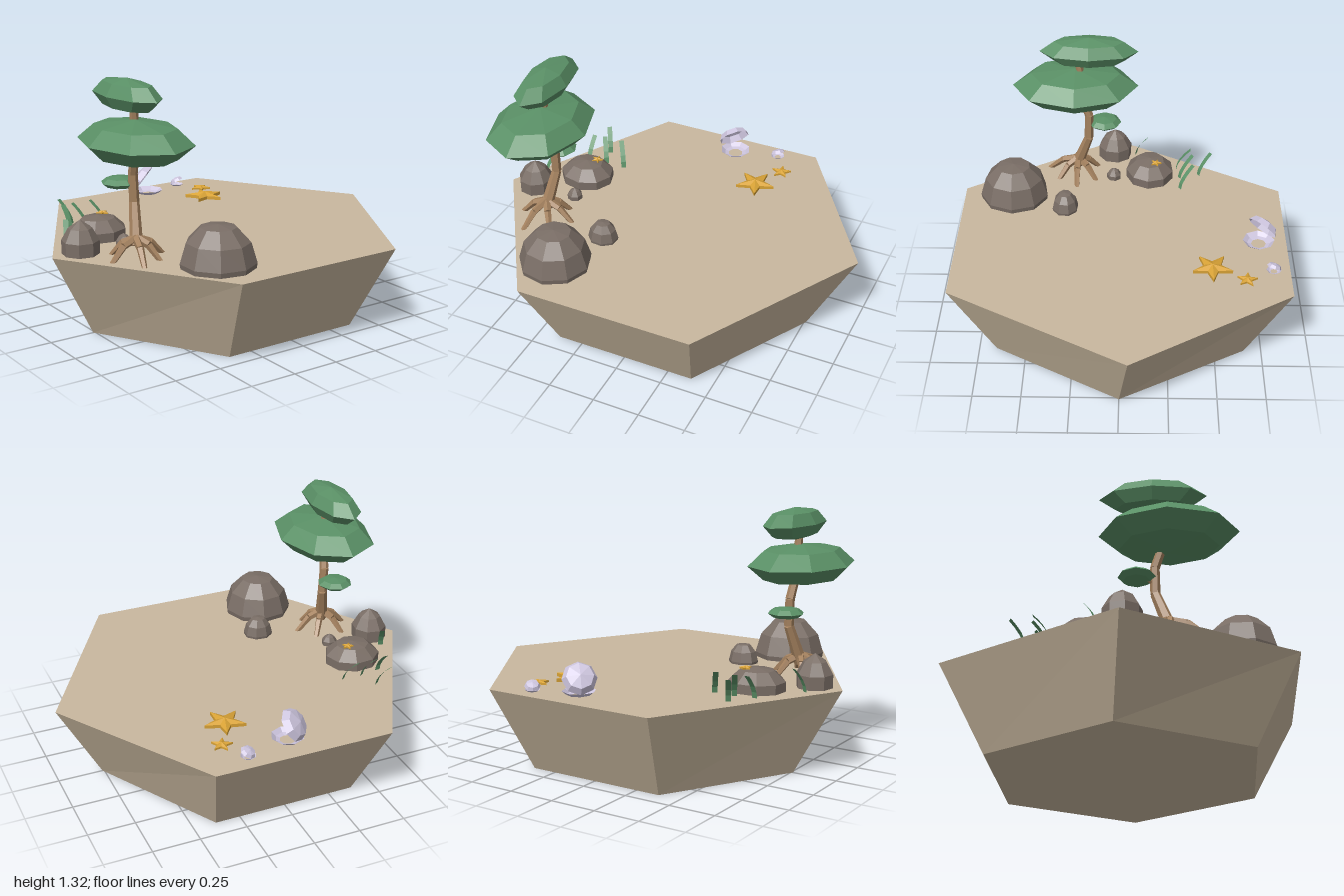
import * as THREE from 'three';

const GROUND = 0.45;
const paint = (name, color, side = THREE.FrontSide) => {
  const m = new THREE.MeshStandardMaterial({ color, side });
  m.name = name;
  return m;
};

// Splits a geometry into flat facets
function facet(geometry) {
  const g = geometry.index ? geometry.toNonIndexed() : geometry;
  g.computeVertexNormals();
  return g;
}

// Moves each vertex by a rule
function reshape(geometry, rule) {
  const p = geometry.attributes.position, v = new THREE.Vector3();
  for (let i = 0; i < p.count; i++) {
    rule(v.fromBufferAttribute(p, i));
    p.setXYZ(i, v.x, v.y, v.z);
  }
  return geometry;
}

const lathe = (profile, sides) =>
  new THREE.LatheGeometry(profile.map(([r, y]) => new THREE.Vector2(r, y)), sides);

export function createModel() {
  const model = new THREE.Group();
  const sand = paint('sand', 0xc9b89f);
  const stone = paint('stone', 0x7a6e66);
  const bark = paint('bark', 0xa5825f);
  const leaf = paint('leaf green', 0x5a9066);
  const grass = paint('grass green', 0x5a9066, THREE.DoubleSide);
  const gold = paint('starfish gold', 0xd9a336);
  const pearl = paint('shell lavender', 0xcdc5de, THREE.DoubleSide);

  const add = (name, geometry, material, parent = model) => {
    const mesh = new THREE.Mesh(facet(geometry), material);
    mesh.name = name;
    parent.add(mesh);
    return mesh;
  };

  // Six-sided island, slightly irregular at the top
  const island = new THREE.CylinderGeometry(1, 0.76, GROUND, 6, 1, false, Math.PI / 2);
  reshape(island, (v) => {
    if (v.y < 0) return;
    if (Math.abs(v.x) > 0.9) v.z = -0.045 * Math.sign(v.x);
    else { v.x *= 0.94; v.z *= 1.022; }
  });
  add('island', island, sand).position.y = GROUND / 2;

  // Rocks: unit dome profiles, stretched to size
  const dome = [[0, -0.1], [0.96, -0.1], [1, 0.12], [0.84, 0.6], [0.48, 0.94], [0, 1]];
  const pointed = [[0, -0.1], [0.97, -0.1], [0.98, 0.4], [0.62, 0.76], [0, 1]];
  const low = [[0, -0.1], [1, -0.1], [1, 0.42], [0.6, 0.88], [0, 1]];
  [
    ['bigRock', dome, -0.41, 0.605, 0.187, 0.21, 0.19, 9, 0.15],
    ['pointedRock', pointed, -0.845, 0.048, 0.096, 0.172, 0.098, 8, 0.2],
    ['flatRock', low, -0.63, -0.155, 0.148, 0.115, 0.135, 9, 0.1],
    ['smallRock', dome, -0.285, 0.315, 0.081, 0.105, 0.073, 8, 0.3],
    ['tinyRock', pointed, -0.6, 0.05, 0.042, 0.062, 0.042, 7, 0],
  ].forEach(([name, profile, x, z, rx, h, rz, sides, turn]) => {
    const rock = add(name, lathe(profile, sides).rotateY(turn).scale(rx, h, rz), stone);
    rock.position.set(x, GROUND, z);
  });

  // Tree: bent trunk and prop roots made of tapered lengths
  const tree = new THREE.Group();
  tree.name = 'tree';
  model.add(tree);
  const limb = (name, points, radii, sides) => {
    for (let i = 0; i < points.length - 1; i++) {
      const a = new THREE.Vector3(...points[i]), b = new THREE.Vector3(...points[i + 1]);
      const dir = b.clone().sub(a);
      const part = add(name,
        new THREE.CylinderGeometry(radii[i + 1], radii[i], dir.length(), sides), bark, tree);
      part.position.copy(a).add(b).multiplyScalar(0.5);
      part.quaternion.setFromUnitVectors(new THREE.Vector3(0, 1, 0), dir.normalize());
    }
  };
  limb('trunk',
    [[-0.655, 0.51, 0.262], [-0.62, 0.71, 0.192], [-0.625, 0.85, 0.19],
      [-0.632, 0.93, 0.218], [-0.645, 1.2, 0.245]],
    [0.034, 0.025, 0.024, 0.023, 0.02], 6);
  limb('twig', [[-0.625, 0.77, 0.19], [-0.645, 0.795, 0.11]], [0.01, 0.008], 5);
  [[-0.8, 0.27], [-0.71, 0.43], [-0.58, 0.37], [-0.5, 0.26], [-0.57, 0.15], [-0.73, 0.14]]
    .forEach(([x, z]) => {
      const knee = [-0.655 + (x + 0.655) * 0.5, 0.52, 0.26 + (z - 0.26) * 0.5];
      limb('root', [[-0.655, 0.55, 0.258], knee, [x, 0.44, z]], [0.022, 0.019, 0.013], 5);
    });

  // Foliage pads
  [
    ['lowerFoliage', -0.648, 0.795, 0.103, 0.094, 0.03, 0.093],
    ['mainFoliage', -0.65, 1.027, 0.263, 0.255, 0.106, 0.348],
    ['topFoliage', -0.648, 1.24, 0.186, 0.115, 0.083, 0.27],
  ].forEach(([name, x, y, z, rx, ry, rz]) => {
    const pad = add(name, new THREE.SphereGeometry(1, 8, 4).scale(rx, ry, rz), leaf, tree);
    pad.position.set(x, y, z);
  });

  // Curved grass blades: x, z of the foot, then sideways and forward lean
  [
    [-0.705, -0.31, 0, -0.08], [-0.6, -0.325, -0.045, -0.075], [-0.49, -0.325, -0.05, -0.075],
    [-0.63, -0.435, -0.04, -0.07], [-0.855, -0.075, 0.03, -0.065],
  ].forEach(([x, z, dx, dz]) => {
    const blade = new THREE.PlaneGeometry(0.027, 0.125, 1, 4).translate(0, 0.0625, 0);
    const reach = Math.hypot(dx, dz);
    reshape(blade, (v) => { v.z = reach * (v.y / 0.125) ** 1.7; });
    const mesh = add('grassBlade', blade, grass);
    mesh.position.set(x, GROUND, z);
    mesh.rotation.y = Math.atan2(dx, dz);
  });

  // Starfish: ten-sided lathe with every other corner pulled in
  [
    [0.255, GROUND, -0.48, 0.11, 0.036, 0.02], [0.345, GROUND, -0.655, 0.056, 0.022, 0.5],
    [-0.585, 0.555, -0.19, 0.032, 0.018, 0.3],
  ].forEach(([x, y, z, radius, height, turn]) => {
    const star = reshape(lathe([[0, 0], [1, 0], [1, 0.5], [0, 1]], 10), (v) => {
      const corner = Math.round(Math.atan2(v.x, v.z) / (Math.PI / 5));
      if (corner % 2) { v.x *= 0.42; v.z *= 0.42; }
    });
    const mesh = add('starfish', star.scale(radius, height, radius), gold);
    mesh.position.set(x, y, z);
    mesh.rotation.y = Math.PI / 2 + turn;
  });

  // Open shells: shallow lower bowl, hinged upper bowl
  const shell = (name, x, z, size, tilt) => {
    const group = new THREE.Group();
    group.name = name;
    group.position.set(x, GROUND, z);
    group.rotation.y = Math.PI / 4;
    group.scale.setScalar(size);
    model.add(group);
    add('lowerShell', lathe([[0.04, 0.002], [0.062, 0.008], [0.085, 0.026]], 8), pearl, group);
    const lid = lathe([[0.088, 0], [0.068, 0.034], [0, 0.05]], 8).translate(0, 0, 0.088);
    const upper = add('upperShell', lid, pearl, group);
    upper.position.set(0, 0.02, -0.075);
    upper.rotation.x = -tilt;
  };
  shell('openShell', 0.03, -0.735, 1, 0.95);
  shell('smallShell', 0.268, -0.798, 0.46, 0.5);

  return model;
}
